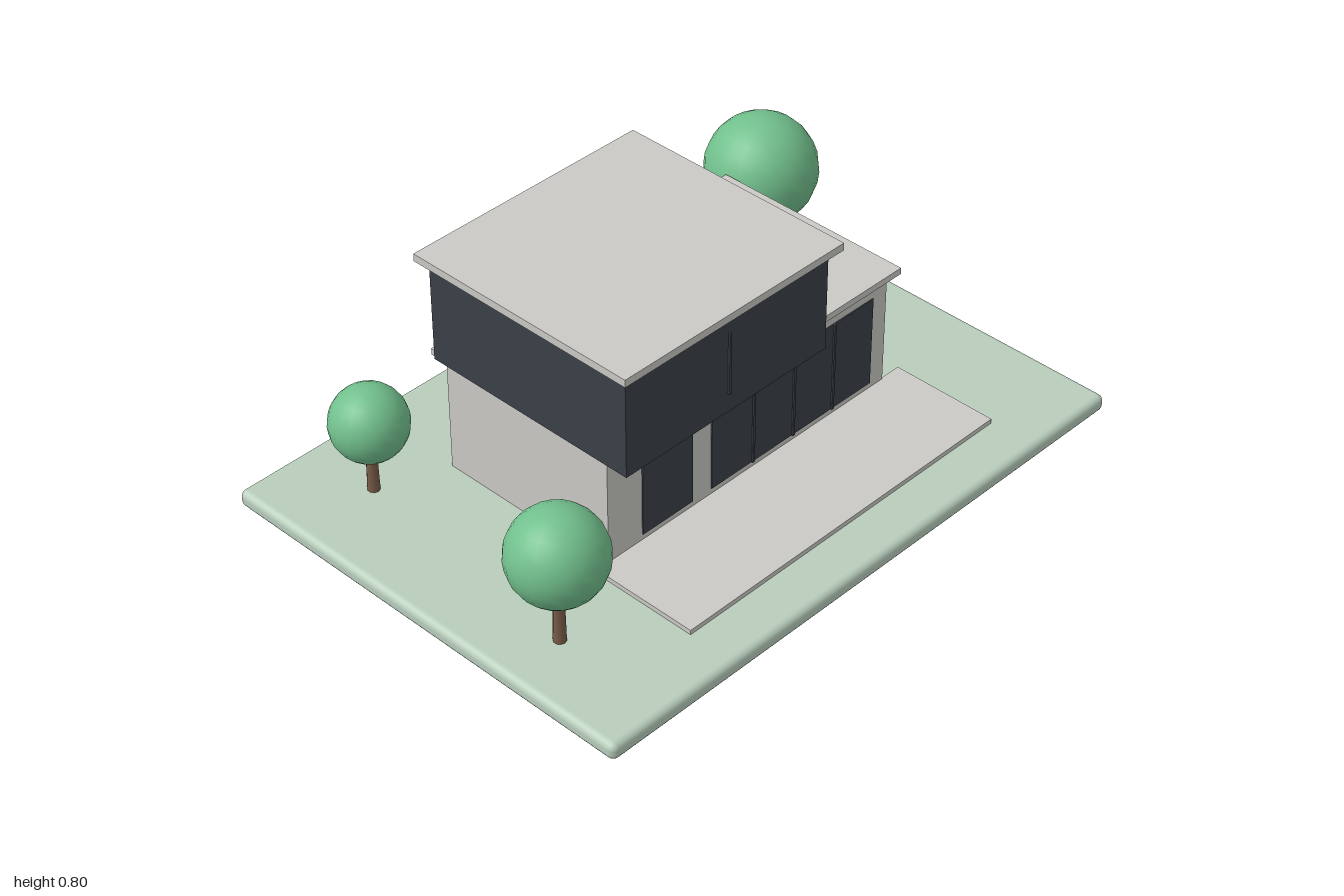
import * as THREE from 'three';
import { RoundedBoxGeometry } from 'three/addons/geometries/RoundedBoxGeometry.js';

const mat = (name, color) => {
  const m = new THREE.MeshStandardMaterial({ color });
  m.name = name;
  return m;
};

export function createModel() {
  const house = new THREE.Group();
  house.name = 'house';

  const lawnGreen = mat('lawn green', 0xb9cebd);
  const concrete = mat('concrete', 0xcbcac6);
  const charcoal = mat('charcoal', 0x3b4048);
  const leafGreen = mat('leaf green', 0x72c08d);
  const bark = mat('bark', 0x7a5c48);

  const add = (name, geometry, material, x = 0, y = 0, z = 0, parent = house) => {
    const mesh = new THREE.Mesh(geometry, material);
    mesh.name = name;
    mesh.position.set(x, y, z);
    parent.add(mesh);
    return mesh;
  };
  // Box given by its extents on each axis
  const block = (name, material, [x0, x1], [y0, y1], [z0, z1], radius = 0) => {
    const size = [x1 - x0, y1 - y0, z1 - z0];
    const geometry = radius
      ? new RoundedBoxGeometry(...size, 3, radius)
      : new THREE.BoxGeometry(...size);
    return add(name, geometry, material, (x0 + x1) / 2, (y0 + y1) / 2, (z0 + z1) / 2);
  };

  // Ground
  block('lawn', lawnGreen, [-1, 1], [0, 0.055], [-0.73, 0.73], 0.022);
  block('terrace', concrete, [-0.56, 0.67], [0.05, 0.07], [0.228, 0.577]);

  // Lower storey
  block('lowerWalls', concrete, [-0.517, 0.596], [0.05, 0.442], [-0.383, 0.232]);
  block('lowerRoof', concrete, [-0.543, 0.622], [0.442, 0.463], [-0.413, 0.26]);

  // Upper storey, overhanging the front
  block('upperWalls', charcoal, [-0.56, 0.207], [0.453, 0.778], [-0.382, 0.347]);
  block('upperRoof', concrete, [-0.588, 0.236], [0.778, 0.802], [-0.41, 0.375]);

  // Glazing and its slim uprights
  const pane = [0.09, 0.388];
  block('doorGlass', charcoal, [-0.388, -0.195], pane, [0.23, 0.236]);
  block('wideWindowGlass', charcoal, [-0.12, 0.537], pane, [0.23, 0.236]);
  for (let i = 1; i < 4; i++) {
    const x = -0.12 + (0.657 * i) / 4;
    block('windowUpright', charcoal, [x - 0.004, x + 0.004], pane, [0.234, 0.241]);
  }
  block('upperWindowUpright', charcoal, [-0.18, -0.172], [0.515, 0.712], [0.345, 0.353]);

  // Air conditioner on the side wall
  block('airConditioner', concrete, [0.594, 0.65], [0.105, 0.226], [0.016, 0.176], 0.006);
  const fan = add('airConditionerFan', new THREE.CylinderGeometry(0.039, 0.039, 0.006, 24),
    charcoal, 0.65, 0.165, 0.118);
  fan.rotation.z = -Math.PI / 2;

  // Trees: x, z, crown height, crown radius
  const trees = [
    [0.786, -0.424, 0.403, 0.173],
    [-0.81, 0.345, 0.346, 0.143],
    [-0.735, -0.465, 0.288, 0.115],
  ];
  for (const [x, z, y, r] of trees) {
    const tree = new THREE.Group();
    tree.name = 'tree';
    tree.position.set(x, 0, z);
    house.add(tree);
    const height = y - 0.05;
    add('trunk', new THREE.CylinderGeometry(0.014, 0.019, height, 10), bark,
      0, 0.05 + height / 2, 0, tree);
    add('crown', new THREE.SphereGeometry(r, 20, 14), leafGreen, 0, y, 0, tree);
  }

  return house;
}
